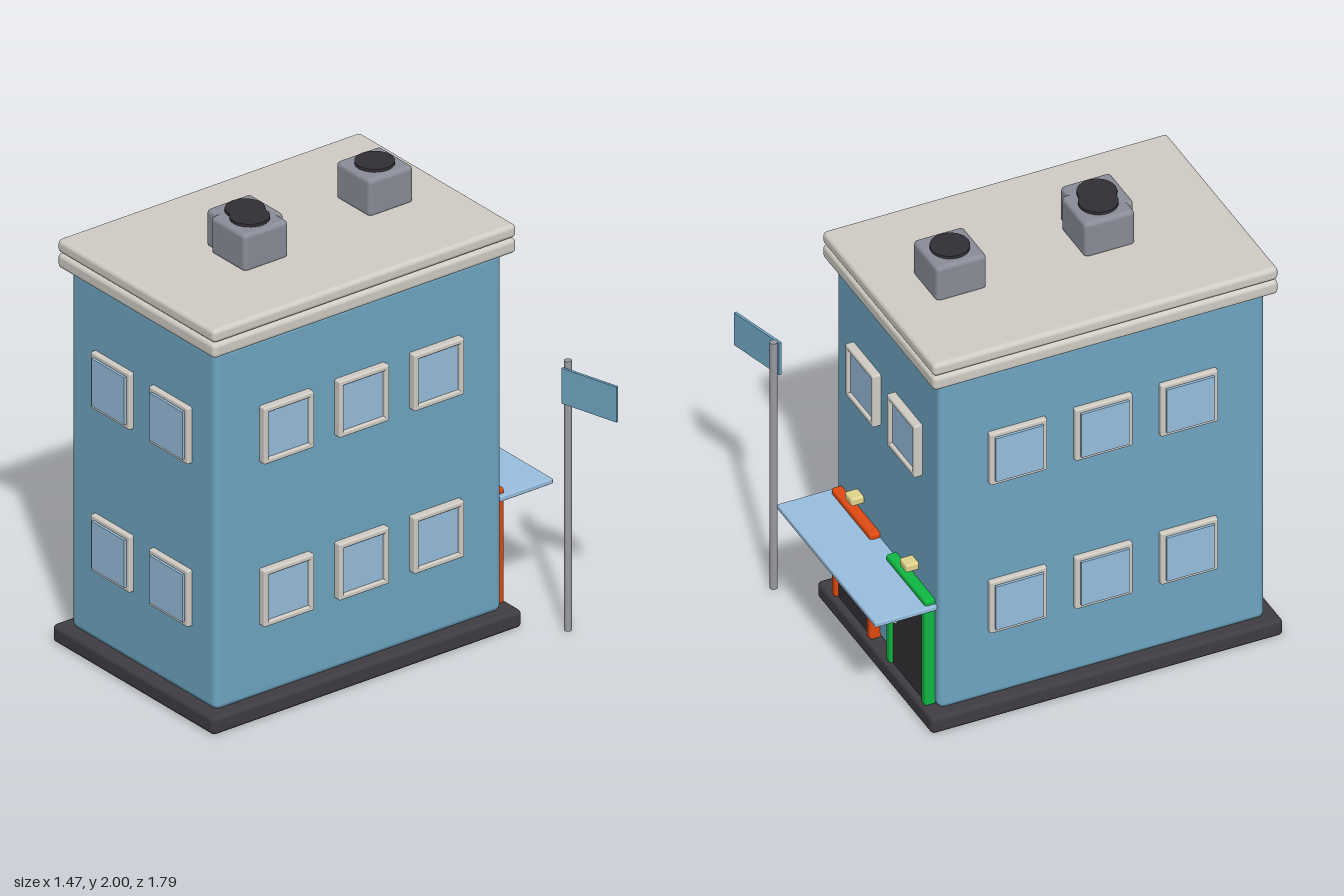
import * as THREE from 'three';
import { RoundedBoxGeometry } from 'three/addons/geometries/RoundedBoxGeometry.js';

const mat = (color) => new THREE.MeshStandardMaterial({ color });
const wall = mat(0x6ea6c3), trim = mat(0xd1cdc5), glass = mat(0x98bfde), dark = mat(0x3f3c43);
const unitGrey = mat(0x8a8d98), fanBlack = mat(0x322f36), doorBlack = mat(0x373237);
const orange = mat(0xe04a12), green = mat(0x0fb843), lampYellow = mat(0xe0d48c), metal = mat(0x9a9aa2), knobGrey = mat(0xcccccc);

function add(parent, name, geometry, material, x, y, z) {
  const mesh = new THREE.Mesh(geometry, material);
  mesh.name = name;
  mesh.position.set(x, y, z);
  parent.add(mesh);
  return mesh;
}

// Rounded box given by its min and max corners
function block(parent, name, material, [x0, y0, z0], [x1, y1, z1], r = 0.01) {
  const g = new RoundedBoxGeometry(x1 - x0, y1 - y0, z1 - z0, 3, r);
  return add(parent, name, g, material, (x0 + x1) / 2, (y0 + y1) / 2, (z0 + z1) / 2);
}

// Window facing local +z: four rounded frame bars around a pane
function makeWindow(frameOut, paneOut) {
  const g = new THREE.Group();
  g.name = 'window';
  const h = 0.128, w = 0.024;
  for (const s of [-1, 1]) {
    const a = s < 0 ? -h : h - w;
    block(g, 'frameSide', trim, [a, -h, -0.01], [a + w, h, frameOut], 0.008);
    block(g, 'frameRail', trim, [-h, a, -0.01], [h, a + w, frameOut], 0.008);
  }
  add(g, 'pane', new THREE.BoxGeometry(0.215, 0.215, paneOut + 0.01), glass, 0, 0, (paneOut - 0.01) / 2);
  return g;
}

// Door on the back wall with a coloured surround, knob and lamp
function makeDoor(x, color) {
  const g = new THREE.Group();
  g.name = 'door';
  g.position.x = x;
  const h = 0.183, w = 0.042;
  for (const s of [-1, 1]) {
    const a = s < 0 ? -h : h - w;
    block(g, 'doorPost', color, [a, 0.075, -0.664], [a + w, 0.58, -0.61], 0.012);
  }
  block(g, 'doorLintel', color, [-h, 0.556, -0.664], [h, 0.6, -0.61], 0.012);
  add(g, 'doorPanel', new THREE.BoxGeometry(0.29, 0.49, 0.04), doorBlack, 0, 0.32, -0.63);
  add(g, 'doorKnob', new THREE.SphereGeometry(0.013, 16, 12), knobGrey, 0.09, 0.33, -0.668);
  block(g, 'lamp', lampYellow, [-0.033, 0.645, -0.676], [0.033, 0.683, -0.615], 0.01);
  return g;
}

export function createModel() {
  const model = new THREE.Group();
  model.name = 'building';

  // Plinth, walls and roof slabs
  block(model, 'base', dark, [-0.738, 0, -0.68], [0.325, 0.08, 0.895], 0.02);
  block(model, 'walls', wall, [-0.685, 0.07, -0.62], [0.27, 1.697, 0.84], 0.03);
  block(model, 'roofSlabLower', trim, [-0.725, 1.695, -0.664], [0.31, 1.762, 0.88], 0.02);
  block(model, 'roofSlabUpper', trim, [-0.725, 1.765, -0.664], [0.31, 1.825, 0.88], 0.02);

  // Windows on all four walls; the ground floor of the back has doors instead
  const place = (x, y, z, turn, frameOut, paneOut) => {
    const w = makeWindow(frameOut, paneOut);
    w.position.set(x, y, z);
    w.rotation.y = turn;
    model.add(w);
  };
  for (const y of [0.525, 1.262]) {
    for (const x of [-0.398, -0.015]) {
      place(x, y, 0.84, 0, 0.023, 0.033);
      if (y > 1) place(x, y, -0.62, Math.PI, 0.036, 0.022);
    }
    for (const z of [0.49, 0.107, -0.275]) {
      place(0.27, y, z, Math.PI / 2, 0.034, 0.02);
      place(-0.685, y, z, -Math.PI / 2, 0.023, 0.033);
    }
  }

  // Back entrances under a shared canopy
  model.add(makeDoor(0.045, orange), makeDoor(-0.46, green));
  block(model, 'canopy', glass, [-0.66, 0.552, -0.895], [0.25, 0.576, -0.615], 0.006);

  // Rooftop fan units, two of them overlapping
  for (const [x, z] of [[-0.218, -0.347], [-0.207, 0.322], [-0.144, 0.347]]) {
    block(model, 'roofUnit', unitGrey, [x - 0.113, 1.815, z - 0.113], [x + 0.113, 1.987, z + 0.113], 0.02);
    add(model, 'roofFan', new THREE.CylinderGeometry(0.082, 0.082, 0.04, 32), fanBlack, x, 1.98, z);
  }

  // Flagpole and flag
  add(model, 'flagpole', new THREE.CylinderGeometry(0.016, 0.016, 1.222, 20), metal, 0.455, 0.611, -0.81);
  const flag = add(model, 'flag', new THREE.BoxGeometry(0.278, 0.16, 0.012), wall, 0.597, 1.122, -0.812);
  flag.rotation.y = Math.atan2(0.072, 0.268);

  return model;
}
